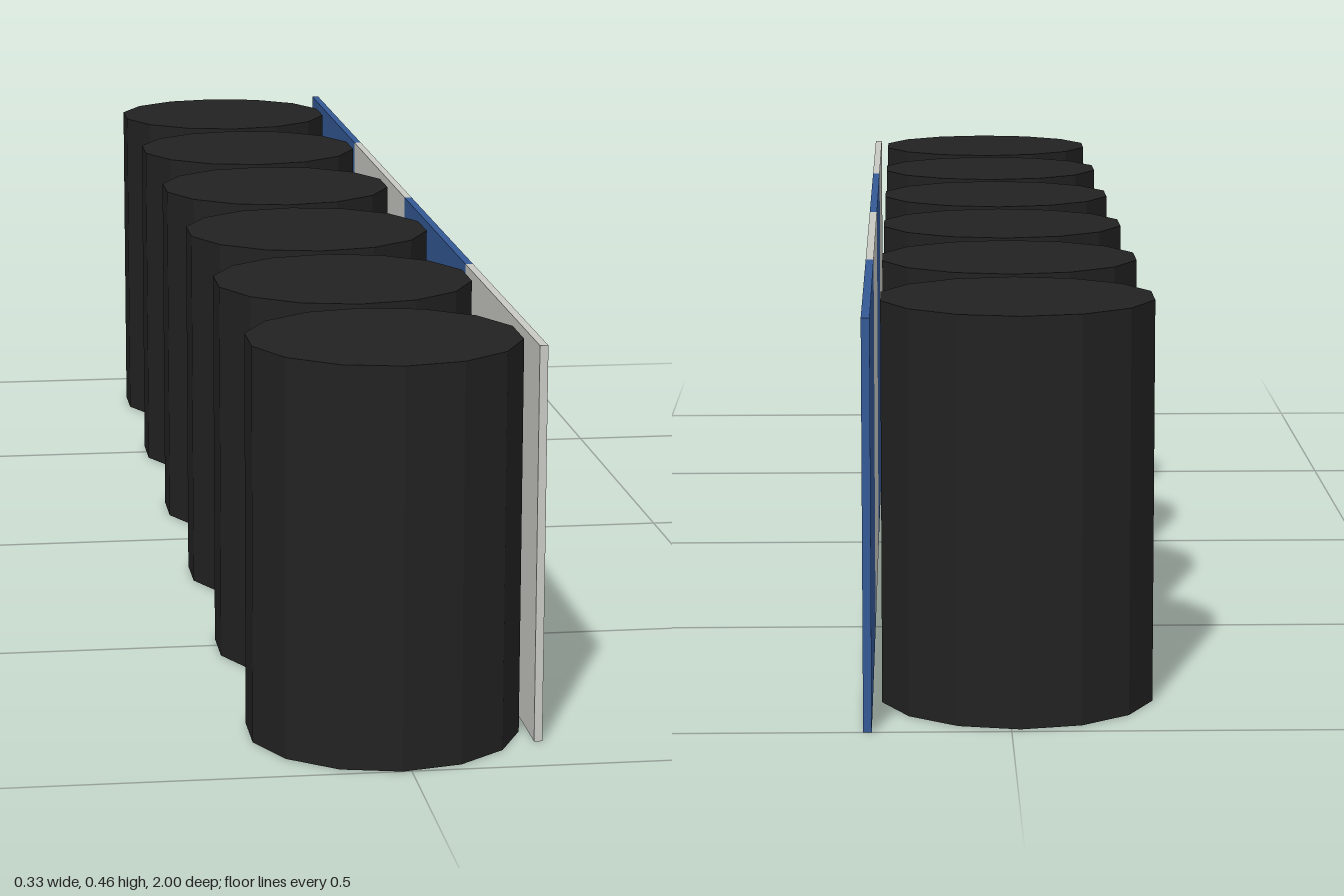
import * as THREE from 'three';

export function createModel() {
  const model = new THREE.Group();
  const rubber = new THREE.MeshStandardMaterial({ color: 0x222222 });
  const white = new THREE.MeshStandardMaterial({ color: 0xc9c9c4 });
  const blue = new THREE.MeshStandardMaterial({ color: 0x345996 });
  rubber.name = 'blackRubber';
  white.name = 'offWhite';
  blue.name = 'blue';

  const height = 0.459;

  // Row of six faceted tyre stacks
  const stackGeometry = new THREE.CylinderGeometry(0.157, 0.157, height, 14).toNonIndexed();
  stackGeometry.computeVertexNormals(); // flat facets
  for (let i = 0; i < 6; i++) {
    const stack = new THREE.Mesh(stackGeometry, rubber);
    stack.name = `tyreStack${i + 1}`;
    stack.position.set(-0.01, height / 2, 0.843 - i * 0.3354);
    model.add(stack);
  }

  // Thin facing board in alternating colours along the left side
  const panelLength = 0.479;
  const panelGeometry = new THREE.BoxGeometry(0.0095, height, panelLength);
  for (let i = 0; i < 4; i++) {
    const panel = new THREE.Mesh(panelGeometry, i % 2 ? white : blue);
    panel.name = `boardPanel${i + 1}`;
    panel.position.set(0.1583, height / 2, -1 + panelLength * (i + 0.5));
    model.add(panel);
  }

  return model;
}
